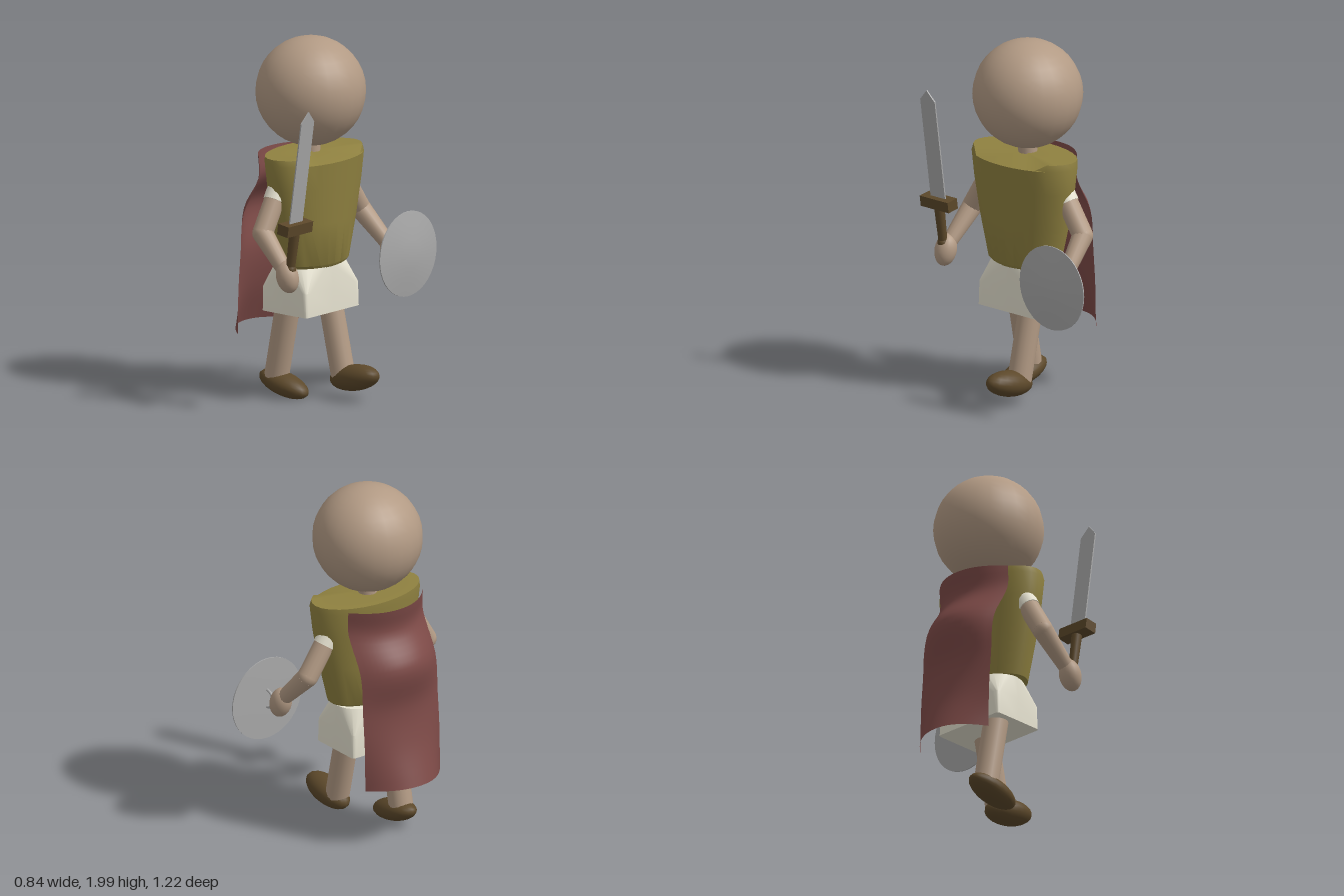
import * as THREE from 'three';
import { toCreasedNormals } from 'three/addons/utils/BufferGeometryUtils.js';

const mat = (color, side = THREE.FrontSide) => new THREE.MeshStandardMaterial({ color, side });
const skin = mat(0xb29a84), olive = mat(0x8f8140), cream = mat(0xe6e2d0);
const leather = mat(0x5c482a), steel = mat(0xaaaaaa);
const cloth = mat(0x7d4a47, THREE.DoubleSide);
const V = (x, y, z) => new THREE.Vector3(x, y, z);

function add(parent, name, geo, material, pos = [0, 0, 0], rotZ = 0) {
  const m = new THREE.Mesh(geo, material);
  m.name = name;
  m.position.set(...pos);
  m.rotation.z = rotZ;
  parent.add(m);
  return m;
}

// Tapered round limb between two points
function limb(parent, name, a, b, ra, rb, material) {
  const d = b.clone().sub(a);
  const m = add(parent, name, new THREE.CylinderGeometry(rb, ra, d.length(), 16), material);
  m.position.copy(a).add(b).multiplyScalar(0.5);
  m.quaternion.setFromUnitVectors(V(0, 1, 0), d.normalize());
  return m;
}

function ellipsoid(parent, name, pos, radii, material, rotZ = 0) {
  const g = new THREE.SphereGeometry(1, 20, 14).scale(...radii);
  return add(parent, name, g, material, pos, rotZ);
}

// Closed loft of rings: [y, centreX, halfX, halfZ, power]; power 1 is oval, near 0 is a box
function loft(rings, cz, n, crease, adjust = (x, y) => y) {
  const pos = [], idx = [];
  for (const [y, cx, hx, hz, p] of rings) {
    for (let i = 0; i < n; i++) {
      const a = (i / n) * Math.PI * 2;
      const f = (t) => (Math.abs(t) < 1e-6 ? 0 : Math.sign(t) * Math.abs(t) ** p);
      const x = cx + hx * f(Math.cos(a));
      pos.push(x, adjust(x, y), cz + hz * f(Math.sin(a)));
    }
  }
  const last = (rings.length - 1) * n, c = rings.length * n;
  pos.push(rings[0][1], rings[0][0], cz);
  pos.push(rings.at(-1)[1], rings.at(-1)[0], cz);
  for (let i = 0; i < n; i++) {
    const k = (i + 1) % n;
    for (let j = 0; j < last; j += n) {
      idx.push(j + i, j + n + i, j + n + k, j + i, j + n + k, j + k);
    }
    idx.push(c, i, k, c + 1, last + k, last + i);
  }
  const g = new THREE.BufferGeometry();
  g.setAttribute('position', new THREE.Float32BufferAttribute(pos, 3));
  g.setIndex(idx);
  return toCreasedNormals(g, crease);
}

// Cape: a sheet bowed backwards, following a wavy centre line and edge line
function capeGeometry() {
  const mid = new THREE.CatmullRomCurve3([V(-0.25, 1.36, 0), V(-0.235, 1.22, 0), V(-0.345, 1.04, 0),
    V(-0.31, 0.8, 0), V(-0.34, 0.6, 0), V(-0.42, 0.37, 0)]);
  const edge = new THREE.CatmullRomCurve3([V(-0.12, 1.36, 0), V(-0.12, 1.24, 0), V(-0.23, 1.02, 0),
    V(-0.25, 0.8, 0), V(-0.265, 0.6, 0), V(-0.27, 0.355, 0)]);
  const g = new THREE.PlaneGeometry(1, 1, 20, 28);
  const p = g.attributes.position;
  for (let i = 0; i < p.count; i++) {
    const u = p.getX(i) * 2, t = 0.5 - p.getY(i);
    const q = mid.getPoint(t).lerp(edge.getPoint(t), Math.abs(u) ** 2.2);
    p.setXYZ(i, q.x, q.y, 0.1 + 0.255 * u);
  }
  g.computeVertexNormals();
  return g;
}

export function createModel() {
  const root = new THREE.Group();
  root.name = 'warrior';
  const cz = 0.082;

  // Head and neck
  add(root, 'head', new THREE.SphereGeometry(0.3, 24, 18), skin, [0.015, 1.7, cz]);
  add(root, 'neck', new THREE.CylinderGeometry(0.052, 0.052, 0.2, 16), skin, [0.015, 1.39, cz]);

  // Breastplate, with the front of the collar cut lower
  add(root, 'breastplate', loft([
    [0.745, 0.04, 0.125, 0.2, 1], [0.77, 0.04, 0.145, 0.232, 1], [1.0, 0.04, 0.165, 0.292, 1],
    [1.2, 0.04, 0.182, 0.33, 1], [1.34, 0.04, 0.195, 0.346, 1], [1.375, 0.035, 0.19, 0.34, 1],
  ], cz, 28, 0.6, (x, y) => (y > 1.35 && x > 0.18 ? 1.342 : y)), olive);

  // Skirt: oval waist widening to a boxy hem
  add(root, 'skirt', loft([
    [0.497, 0.015, 0.16, 0.223, 0.08], [0.63, 0.013, 0.161, 0.223, 0.12],
    [0.76, 0.01, 0.158, 0.215, 0.95],
  ], cz, 32, 0.5), cream);

  // Cape
  add(root, 'cape', capeGeometry(), cloth);

  // Legs and boots, mid stride
  limb(root, 'rearLeg', V(-0.13, 0.1, 0.2), V(-0.04, 0.56, 0.2), 0.068, 0.068, skin);
  limb(root, 'frontLeg', V(0.175, 0.12, -0.003), V(0.075, 0.56, -0.003), 0.066, 0.066, skin);
  ellipsoid(root, 'rearBoot', [-0.077, 0.082, 0.197], [0.166, 0.062, 0.083], leather, -0.24);
  ellipsoid(root, 'frontBoot', [0.254, 0.13, -0.003], [0.166, 0.072, 0.083], leather, 0.2);

  // Arms, each with a short sleeve
  const arms = [
    ['sword', V(0.015, 1.185, 0.36), V(0.018, 0.98, 0.485), V(0.205, 0.785, 0.505)],
    ['shield', V(0.015, 1.185, -0.185), V(0.018, 0.98, -0.325), V(0.205, 0.785, -0.36)],
  ];
  for (const [name, shoulder, elbow, hand] of arms) {
    const arm = new THREE.Group();
    arm.name = name + 'Arm';
    root.add(arm);
    const cuff = shoulder.clone().lerp(elbow, 0.22);
    add(arm, 'sleeveCap', new THREE.SphereGeometry(0.061, 16, 12), cream, shoulder.toArray());
    limb(arm, 'sleeve', shoulder, cuff, 0.061, 0.061, cream);
    limb(arm, 'upperArm', shoulder, elbow, 0.057, 0.057, skin);
    add(arm, 'elbow', new THREE.SphereGeometry(0.057, 16, 12), skin, elbow.toArray());
    limb(arm, 'forearm', elbow, hand, 0.057, 0.04, skin);
    ellipsoid(arm, 'hand', [0.21, 0.77, hand.z], [0.062, 0.09, 0.06], skin, 0.3);
  }

  // Sword, leaning forward
  const sword = new THREE.Group();
  sword.name = 'sword';
  sword.position.set(0.265, 1.05, 0.505);
  sword.rotation.z = -0.145;
  root.add(sword);
  const outline = new THREE.Shape([[-0.053, 0], [0.053, 0], [0.053, 0.6], [0, 0.66], [-0.053, 0.6]]
    .map(([x, y]) => new THREE.Vector2(x, y)));
  const blade = new THREE.ExtrudeGeometry(outline, { depth: 0.008, bevelEnabled: false });
  blade.translate(0, 0, -0.004).rotateY(Math.PI / 2);
  add(sword, 'blade', blade, steel);
  add(sword, 'guard', new THREE.BoxGeometry(0.075, 0.06, 0.205), leather);
  add(sword, 'grip', new THREE.CylinderGeometry(0.03, 0.025, 0.22, 12), leather, [0, -0.12, 0]);
  add(sword, 'pommel', new THREE.SphereGeometry(0.033, 12, 8), leather, [0, -0.24, 0]);

  // Shield: shallow dome facing forward, with a grip behind it
  const shield = new THREE.Group();
  shield.name = 'shield';
  shield.position.set(0.31, 0.76, -0.374);
  root.add(shield);
  const profile = [[0, 0], [0.12, 0], [0.235, 0.002], [0.235, 0.008], [0.16, 0.02], [0.08, 0.03], [0, 0.035]]
    .map(([x, y]) => new THREE.Vector2(x, y));
  add(shield, 'shieldDisc', toCreasedNormals(new THREE.LatheGeometry(profile, 40), 0.5), steel, [0, 0, 0], -Math.PI / 2);
  add(shield, 'shieldGrip', new THREE.TorusGeometry(0.05, 0.008, 8, 16, Math.PI), steel, [0, 0, 0], Math.PI / 2);

  return root;
}
